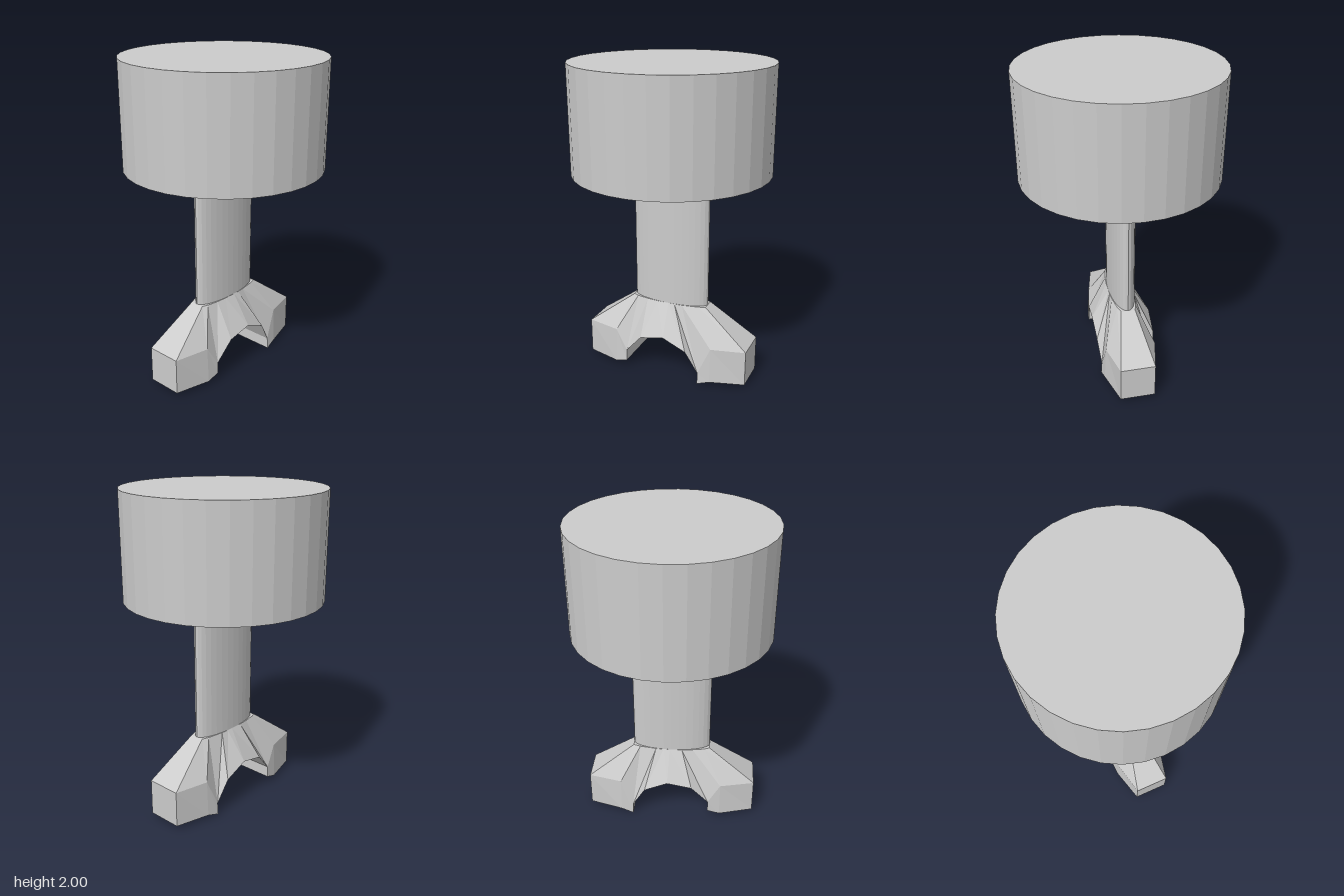
import * as THREE from 'three';

const material = new THREE.MeshStandardMaterial({ color: 0xcccccc, flatShading: true });

function addPart(group, name, geometry) {
  const mesh = new THREE.Mesh(geometry, material);
  mesh.name = name;
  group.add(mesh);
  return mesh;
}

// Two-legged foot: stations run front to back, each with a top, shoulder and bottom corner
function footGeometry() {
  const yTop = 0.485;
  // [top x, top z, shoulder x, y, z, bottom x, y]
  const stations = [
    [0.045, 0.25, 0.11, 0.26, 0.55, 0.11, 0.03],
    [0.06, 0.215, 0.16, 0.26, 0.33, 0.17, 0.03],
    [0.073, 0.14, 0.175, 0.13, 0.25, 0.175, 0.055],
    [0.08, 0.07, 0.19, 0.255, 0.14, 0.19, 0.255],
    [0.08, -0.01, 0.195, 0.29, -0.02, 0.195, 0.29],
    [0.08, -0.05, 0.19, 0.22, -0.17, 0.19, 0.22],
    [0.077, -0.1, 0.175, 0.08, -0.25, 0.18, 0.005],
    [0.06, -0.205, 0.16, 0.26, -0.33, 0.17, 0.03],
    [0.045, -0.25, 0.11, 0.26, -0.545, 0.11, 0.03],
  ];
  const top = stations.map(s => [s[0], yTop, s[1]]);
  const shoulder = stations.map(s => [s[2], s[3], s[4]]);
  const bottom = stations.map(s => [s[5], s[6], s[4]]);
  const last = stations.length - 1;
  const flip = p => [-p[0], p[1], p[2]];
  const positions = [];
  const quad = (a, b, c, d) => positions.push(...a, ...b, ...c, ...a, ...c, ...d);
  const mirrored = (a, b, c, d) => {
    quad(a, b, c, d);
    quad(flip(d), flip(c), flip(b), flip(a));
  };

  for (let i = 0; i < last; i++) {
    // sloping flanks, and the upright leg sides at both ends
    mirrored(top[i], shoulder[i], shoulder[i + 1], top[i + 1]);
    if (i < 2 || i > 5) mirrored(shoulder[i], bottom[i], bottom[i + 1], shoulder[i + 1]);
    // flat top
    quad(top[i], top[i + 1], flip(top[i + 1]), flip(top[i]));
  }
  // soles and arch
  const under = [...bottom.slice(0, 3), ...shoulder.slice(2, 7), ...bottom.slice(6)];
  for (let i = 0; i < under.length - 1; i++) {
    quad(flip(under[i]), flip(under[i + 1]), under[i + 1], under[i]);
  }
  // front and back ends
  for (const [upper, lower] of [[top, shoulder], [shoulder, bottom]]) {
    quad(flip(upper[0]), flip(lower[0]), lower[0], upper[0]);
    quad(upper[last], lower[last], flip(lower[last]), flip(upper[last]));
  }

  const geometry = new THREE.BufferGeometry();
  geometry.setAttribute('position', new THREE.Float32BufferAttribute(positions, 3));
  geometry.computeVertexNormals();
  return geometry;
}

export function createModel() {
  const group = new THREE.Group();
  group.name = 'knob';

  // Drum head with a conical recess underneath
  const profile = [[0, 1.5], [0.32, 1.5], [0.61, 1.34], [0.61, 2], [0, 2]];
  addPart(group, 'head', new THREE.LatheGeometry(profile.map(p => new THREE.Vector2(...p)), 32));

  // Oval stem reaching up into the recess
  const stem = new THREE.CylinderGeometry(1, 1, 1.02, 32);
  stem.scale(0.08, 1, 0.25);
  stem.translate(0, 0.99, 0);
  addPart(group, 'stem', stem);

  addPart(group, 'foot', footGeometry());
  return group;
}
